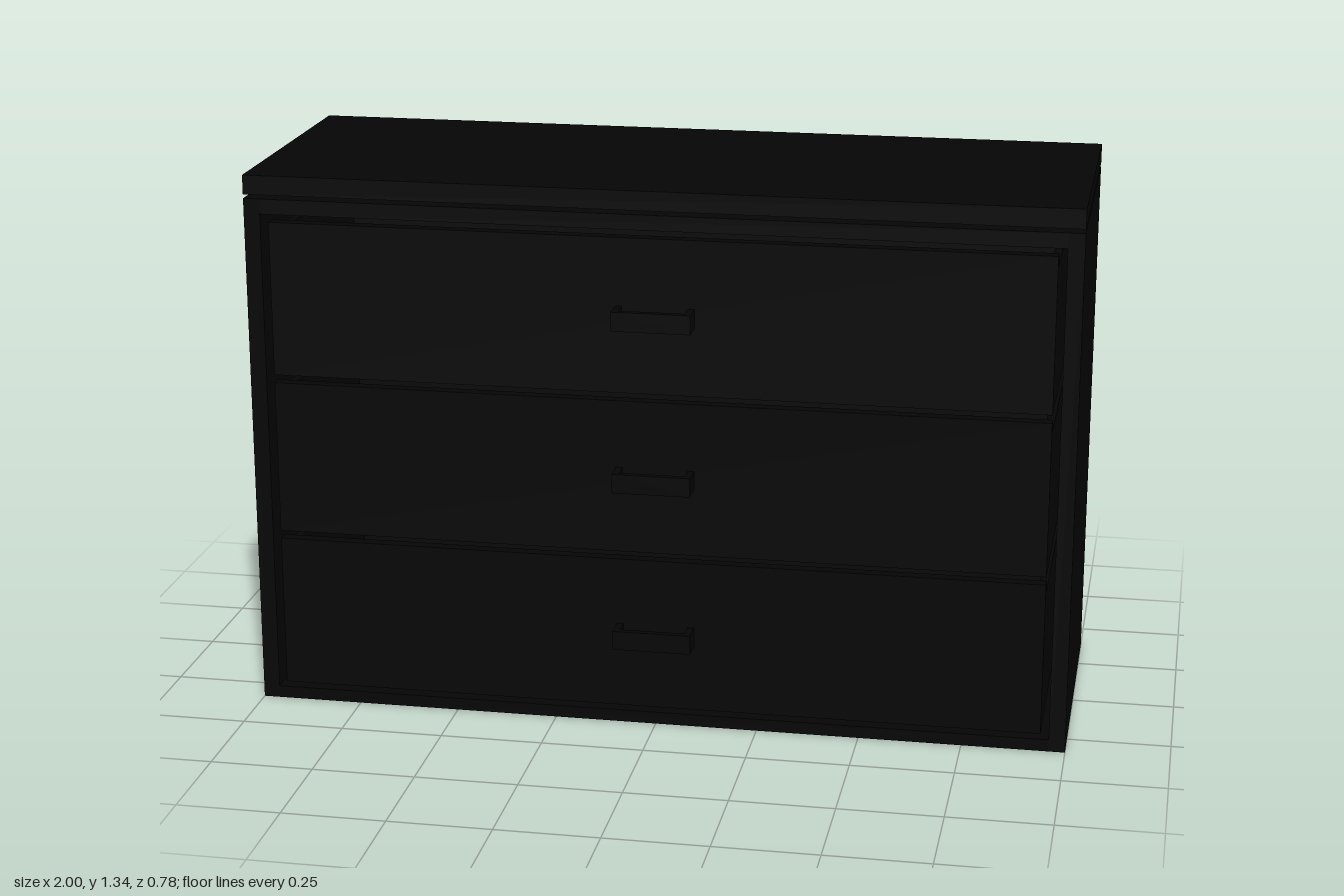
import * as THREE from 'three';

const black = new THREE.MeshStandardMaterial({ color: 0x050505 });

// Box given by its min and max corners
function slab(name, [x0, y0, z0], [x1, y1, z1]) {
  const mesh = new THREE.Mesh(new THREE.BoxGeometry(x1 - x0, y1 - y0, z1 - z0), black);
  mesh.name = name;
  mesh.position.set((x0 + x1) / 2, (y0 + y1) / 2, (z0 + z1) / 2);
  return mesh;
}

const BACK = -0.387, FRONT = 0.333, HEIGHT = 1.28, WALL = 0.04;

function createCarcass() {
  const g = new THREE.Group();
  g.name = 'carcass';
  const inner = 1 - WALL;
  g.add(
    slab('leftSide', [inner, 0, BACK], [1, HEIGHT, FRONT]),
    slab('rightSide', [-1, 0, BACK], [-inner, HEIGHT, FRONT]),
    slab('bottomPanel', [-inner, 0, BACK], [inner, 0.03, FRONT]),
    slab('topRail', [-inner, 1.243, BACK], [inner, HEIGHT, FRONT]),
    slab('backPanel', [-inner, 0.03, BACK], [inner, 1.243, BACK + 0.02])
  );
  return g;
}

// Flat U-shaped pull, extruded upwards
function createHandle() {
  const w = 0.095, d = 0.057, t = 0.016;
  const shape = new THREE.Shape([
    [-w, 0], [-w, -d], [w, -d], [w, 0], [w - t, 0], [w - t, t - d], [t - w, t - d], [t - w, 0]
  ].map(([x, y]) => new THREE.Vector2(x, y)));
  const geometry = new THREE.ExtrudeGeometry(shape, { depth: 0.047, bevelEnabled: false });
  geometry.rotateX(-Math.PI / 2);
  const mesh = new THREE.Mesh(geometry, black);
  mesh.name = 'handle';
  return mesh;
}

// Drawer front, open tray behind it and a handle
function createDrawer() {
  const g = new THREE.Group();
  g.name = 'drawer';
  const w = 0.94, h = 0.19, t = 0.02, back = BACK + 0.05, front = FRONT - 0.03;
  const handle = createHandle();
  handle.position.set(0, -0.0235, FRONT);
  g.add(
    slab('drawerFront', [-w, -h, front], [w, h, FRONT]),
    slab('drawerBase', [-w, -h, back], [w, -h + t, front]),
    slab('drawerBack', [-w, -h + t, back], [w, h - 0.03, back + t]),
    handle
  );
  for (const s of [-1, 1]) {
    const x = s * (w - t / 2);
    g.add(slab('drawerSide', [x - t / 2, -h + t, back + t], [x + t / 2, h - 0.03, front]));
  }
  return g;
}

export function createModel() {
  const model = new THREE.Group();
  model.name = 'chestOfDrawers';
  model.add(createCarcass());

  // Three drawers stacked at an even pitch
  for (let i = 0; i < 3; i++) {
    const drawer = createDrawer();
    drawer.position.y = 0.234 + i * 0.4;
    model.add(drawer);
  }

  // Top board floating just above the carcass
  model.add(slab('topBoard', [-1, 1.29, -0.39], [1, 1.337, FRONT]));
  return model;
}
